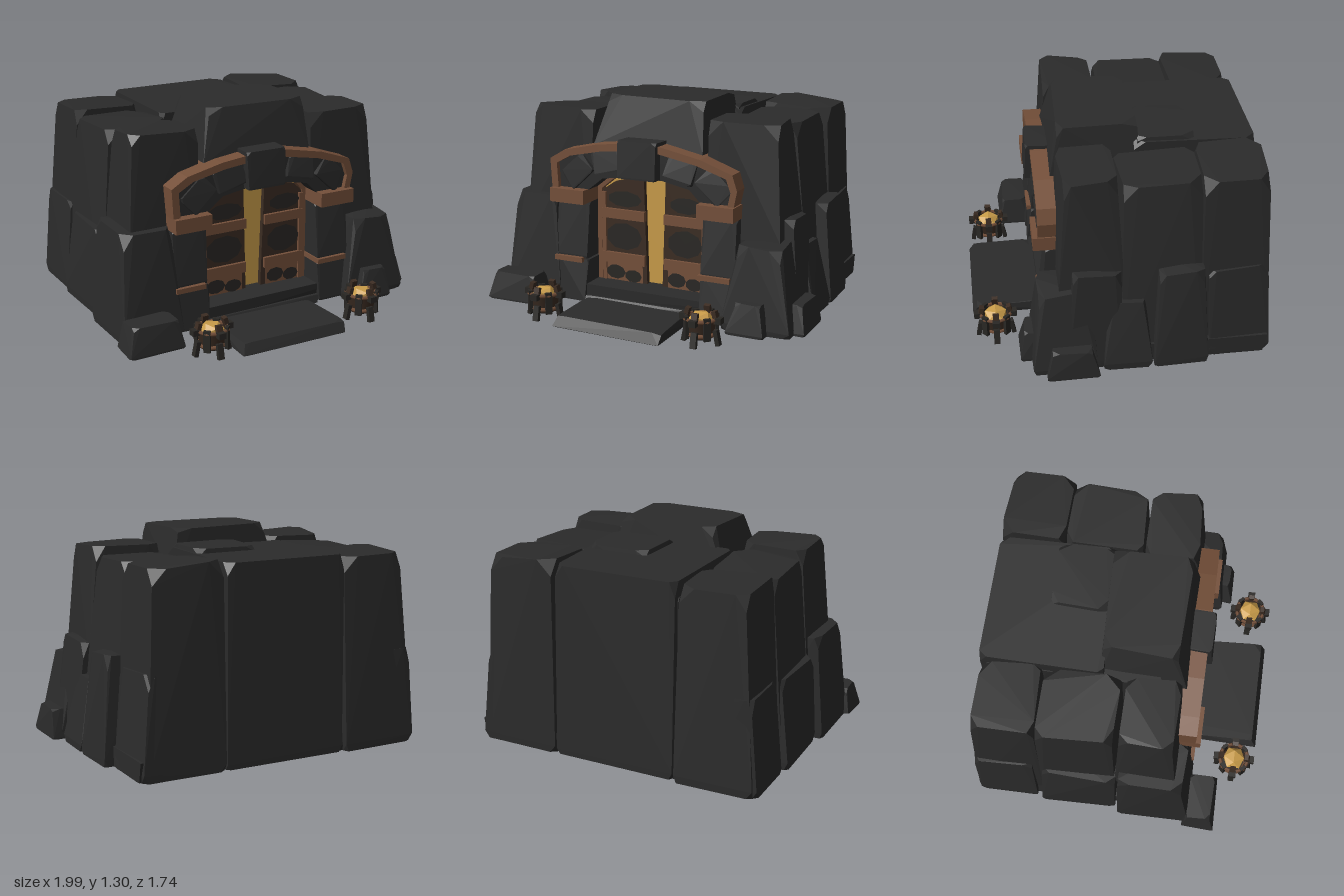
import * as THREE from 'three';
import { ConvexGeometry } from 'three/addons/geometries/ConvexGeometry.js';

const mat = (name, color) => {
  const m = new THREE.MeshStandardMaterial({ color, side: THREE.DoubleSide });
  m.name = name;
  return m;
};

export function createModel() {
  const root = new THREE.Group();
  root.name = 'caveGate';
  const stone = mat('charcoal stone', 0x2b2b2b);
  const soot = mat('sooty wood', 0x292724);
  const darkWood = mat('dark wood', 0x3b2c22);
  const wood = mat('brown wood', 0x75503a);
  const gold = mat('golden glow', 0xc99c49);

  let seed = 7;
  const rand = () => (seed = (seed * 16807) % 2147483647) / 2147483647;

  const add = (name, geo, material, parent = root) => {
    const m = new THREE.Mesh(geo, material);
    m.name = name;
    parent.add(m);
    return m;
  };
  const box = (name, material, x0, x1, y0, y1, z0, z1, parent = root) => {
    const m = add(name, new THREE.BoxGeometry(x1 - x0, y1 - y0, z1 - z0), material, parent);
    m.position.set((x0 + x1) / 2, (y0 + y1) / 2, (z0 + z1) / 2);
    return m;
  };
  // Chipped boulder: jittered box corners, each cut off, hulled.
  // lean = how far the top is pulled in at -x, +x, -z, +z.
  const rock = (name, x0, x1, y0, y1, z0, z1, lean = [0, 0, 0, 0], chip = 0.13, material = stone) => {
    const pts = [];
    const size = [x1 - x0, y1 - y0, z1 - z0];
    for (let i = 0; i < 8; i++) {
      const s = [i & 1, (i >> 1) & 1, (i >> 2) & 1];
      const top = s[1];
      const c = [
        s[0] ? x1 - top * lean[1] : x0 + top * lean[0],
        top ? y1 : y0,
        s[2] ? z1 - top * lean[3] : z0 + top * lean[2],
      ].map((v, k) => v + (s[k] ? -1 : 1) * rand() * 0.05 * (k === 1 && !top ? 0 : Math.min(size[k], 0.6)));
      for (let a = 0; a < 3; a++) {
        const p = c.slice();
        const cut = Math.min(0.09, size[a] * chip * (0.5 + rand())) * (top ? 1 : 0.5);
        p[a] += s[a] ? -cut : cut;
        pts.push(new THREE.Vector3(...p));
      }
    }
    return add(name, new ConvexGeometry(pts), material);
  };
  const plate = (name, points, material, z, depth, holes = [], parent = root) => {
    const s = new THREE.Shape(points.map((p) => new THREE.Vector2(...p)));
    holes.forEach((h) => s.holes.push(new THREE.Path(h.map((p) => new THREE.Vector2(...p)))));
    const m = add(name, new THREE.ExtrudeGeometry(s, { depth, bevelEnabled: false }), material, parent);
    m.position.z = z;
    return m;
  };

  // Central mass and cap over the gate
  rock('coreRock', -0.44, 0.38, 0.03, 1.1, -0.8, 0.25, [0, 0, 0, 0], 0.02);
  rock('backWallRock', -0.43, 0.37, 0.03, 1.2, -0.86, -0.1, [0.01, 0, 0.02, 0], 0.06);
  rock('capRock', -0.41, 0.34, 0.98, 1.31, -0.16, 0.38, [0.09, 0.03, 0.02, 0.05]);
  rock('capRearRock', -0.1, 0.37, 1.0, 1.22, -0.5, -0.1, [0.04, 0.02, 0.03, 0.02]);
  rock('baseRock', -0.9, 0.88, 0.03, 0.15, -0.84, 0.47, [0, 0, 0, 0], 0.03);

  // Tall upper rocks on each side
  rock('upperRockRightBack', 0.36, 0.86, 0.03, 1.2, -0.86, -0.43, [0, 0.06, 0.03, 0]);
  rock('upperRockRightMiddle', 0.35, 0.88, 0.03, 1.17, -0.46, 0.04, [0, 0.1, 0, 0.02]);
  rock('upperRockRightFront', 0.33, 0.83, 0.48, 1.2, 0.0, 0.39, [0, 0.06, 0.02, 0.04]);
  rock('upperRockLeftBack', -0.9, -0.41, 0.03, 1.19, -0.87, -0.44, [0.07, 0, 0.05, 0]);
  rock('upperRockLeftMiddle', -0.91, -0.41, 0.03, 1.17, -0.46, 0.04, [0.08, 0, 0, 0.02]);
  rock('upperRockLeftFront', -0.88, -0.4, 0.45, 1.21, 0.01, 0.39, [0.06, 0, 0.02, 0.04]);

  // Lower boulders leaning on the flanks
  rock('lowerRockRightFront', 0.5, 0.95, 0.03, 0.54, 0.16, 0.55, [0.08, 0.08, 0.03, 0.04]);
  rock('lowerRockRightShoulder', 0.55, 0.92, 0.03, 0.66, 0.02, 0.34, [0.05, 0.06, 0, 0.04]);
  rock('lowerRockRightCenter', 0.6, 0.95, 0.03, 0.46, -0.15, 0.14, [0, 0.08, 0.02, 0.03]);
  rock('lowerRockRightRear', 0.6, 0.95, 0.03, 0.66, -0.48, -0.16, [0, 0.05, 0.02, 0.02]);
  rock('lowerRockRightBack', 0.55, 0.88, 0.03, 0.62, -0.86, -0.48, [0, 0.04, 0.02, 0]);
  rock('lowerRockLeftFront', -0.97, -0.58, 0.03, 0.67, 0.03, 0.5, [0.05, 0.03, 0, 0.06]);
  rock('lowerRockLeftRear', -0.94, -0.6, 0.03, 0.58, -0.45, 0.02, [0.04, 0, 0.02, 0]);
  rock('lowerRockLeftBack', -0.93, -0.6, 0.03, 0.6, -0.86, -0.47, [0.05, 0, 0.02, 0]);

  // Loose stones and the doorstep
  rock('looseStoneLeft', -1.0, -0.64, 0.03, 0.2, 0.45, 0.66, [0.03, 0.03, 0.02, 0.03]);
  rock('looseStoneRight', 0.57, 0.81, 0.03, 0.22, 0.48, 0.61, [0.04, 0.03, 0, 0.03]);
  rock('looseStoneRightSide', 0.74, 1.0, 0.03, 0.21, 0.16, 0.47, [0, 0.02, 0.04, 0.04]);
  const step = rock('doorstep', -0.41, 0.3, 0.0, 0.065, 0.46, 0.88, [0.01, 0.01, 0, 0.02], 0.08);
  step.rotation.z = -0.012;
  step.position.y = 0.004;
  rock('threshold', -0.42, 0.36, 0.03, 0.08, 0.2, 0.5, [0, 0, 0, 0.02], 0.06);

  // Gate piers flanking the doors
  for (const [side, a, b] of [['Left', 0.34, 0.57], ['Right', -0.62, -0.4]]) {
    rock(`pier${side}Lower`, a, b, 0.04, 0.3, 0.2, 0.49, [0, 0, 0, 0.03], 0.08);
    rock(`pier${side}Upper`, a, b, 0.3, 0.66, 0.2, 0.46, [0, 0, 0, 0.03], 0.08);
    box(`pier${side}Band`, wood, a, b - 0.03, 0.28, 0.31, 0.3, 0.48);
    box(`pier${side}Capital`, wood, a + (a > 0 ? 0 : -0.01), b, 0.65, 0.735, 0.25, 0.5);
  }

  // Arch: stone ring with a wooden outer rim
  const outer = [[-0.63, 0.73], [-0.64, 0.91], [-0.54, 0.97], [-0.32, 1.02], [-0.1, 1.045], [0.1, 1.04],
    [0.35, 0.99], [0.55, 0.92], [0.58, 0.83], [0.56, 0.73]];
  const rimInner = outer.map(([x, y]) => [x * 0.93, 0.73 + (y - 0.73) * 0.86]);
  const opening = [[-0.4, 0.73], [-0.3, 0.81], [-0.1, 0.84], [0.1, 0.835], [0.27, 0.8], [0.34, 0.73]];
  plate('archRim', [...outer, ...rimInner.slice().reverse()], wood, 0.3, 0.17);
  plate('archRing', [...rimInner, ...opening.slice().reverse()], stone, 0.25, 0.19);
  for (const [i, [x, y, t]] of [[-0.46, 0.85, 0.75], [-0.26, 0.925, 0.25], [0.22, 0.915, -0.25], [0.43, 0.84, -0.75]].entries()) {
    const v = rock(`archStone${i + 1}`, -0.1, 0.1, -0.07, 0.07, 0.3, 0.475, [0, 0, 0, 0.02], 0.15);
    v.position.set(x, y, 0);
    v.rotation.z = t;
  }
  rock('keystone', -0.17, 0.09, 0.84, 1.065, 0.3, 0.51, [0, 0, 0, 0.01], 0.08);

  // Glow behind the doors
  const glow = [[-0.39, 0.07], [-0.39, 0.73], [-0.3, 0.8], [-0.1, 0.835], [0.1, 0.83], [0.27, 0.8], [0.33, 0.73], [0.33, 0.07]];
  plate('glow', glow, gold, 0.262, 0.008);

  // Wooden jamb around the opening
  const jamb = glow.map(([x, y]) => [(x + 0.03) * 1.04 - 0.03, y > 0.1 ? y + 0.005 : y]);
  const jambHole = glow.map(([x, y]) => [(x + 0.03) * 0.955 - 0.03, y > 0.1 ? y - 0.012 : y + 0.005]);
  plate('doorJamb', jamb, wood, 0.26, 0.06, [jambHole]);

  // Two door leaves with bands and soot patches
  const leaves = [
    ['Right', [[-0.37, 0.08], [-0.37, 0.71], [-0.29, 0.765], [-0.2, 0.79], [-0.09, 0.8], [-0.07, 0.08]], -0.37, -0.08],
    ['Left', [[0.03, 0.09], [0.055, 0.8], [0.16, 0.79], [0.26, 0.765], [0.32, 0.71], [0.32, 0.09]], 0.05, 0.32],
  ];
  for (const [side, pts, a, b] of leaves) {
    const leaf = new THREE.Group();
    leaf.name = `door${side}`;
    root.add(leaf);
    plate('doorPanel', pts, darkWood, 0.28, 0.03, [], leaf);
    for (const [y0, y1] of [[0.54, 0.6], [0.26, 0.325], [0.08, 0.125]]) box('doorBand', wood, a, b, y0, y1, 0.3, 0.33, leaf);
    box('lowerPanel', wood, a + 0.02, b - 0.02, 0.125, 0.26, 0.305, 0.315, leaf);
    const edge = side === 'Left' ? b - 0.025 : a;
    box('doorStile', wood, edge, edge + 0.025, 0.09, 0.7, 0.3, 0.325, leaf);
    const w = (b - a) / 2;
    for (const [x, y, rx, ry] of [[0, 0.43, 0.85, 0.085], [0.05, 0.665, 0.8, 0.05], [-0.4, 0.2, 0.45, 0.045], [0.42, 0.185, 0.4, 0.04]]) {
      const patch = add('sootPatch', new THREE.CircleGeometry(1, 9), soot, leaf);
      patch.scale.set(rx * w, ry, 1);
      patch.position.set((a + b) / 2 + x * w, y, 0.318);
    }
  }

  // Braziers with spiked rims and embers
  for (const [side, x] of [['Right', -0.535], ['Left', 0.485]]) {
    const b = new THREE.Group();
    b.name = `brazier${side}`;
    b.position.set(x, 0, 0.735);
    root.add(b);
    add('bowl', new THREE.CylinderGeometry(0.095, 0.07, 0.11, 8, 1, true), darkWood, b).position.y = 0.105;
    add('bowlFloor', new THREE.CylinderGeometry(0.07, 0.05, 0.02, 8), soot, b).position.y = 0.05;
    for (const [y, r] of [[0.16, 0.095], [0.07, 0.08]]) {
      const ring = add('hoop', new THREE.TorusGeometry(r, 0.012, 4, 8), wood, b);
      ring.rotation.x = Math.PI / 2;
      ring.position.y = y;
    }
    const ember = add('embers', new THREE.IcosahedronGeometry(0.075, 0), gold, b);
    ember.scale.y = 0.6;
    ember.position.y = 0.155;
    for (let i = 0; i < 8; i++) {
      const arm = new THREE.Group();
      arm.name = 'bracket';
      arm.rotation.y = (i * Math.PI) / 4;
      b.add(arm);
      if (i % 2) {
        box('post', soot, 0.08, 0.1, 0.05, 0.18, -0.02, 0.02, arm);
      } else {
        box('spike', soot, 0.09, 0.128, 0.14, 0.175, -0.022, 0.022, arm);
        const prong = box('prong', darkWood, 0.075, 0.1, 0.14, 0.21, -0.018, 0.018, arm);
        prong.rotation.z = 0.25;
        const leg = box('leg', soot, 0.085, 0.11, 0.01, 0.1, -0.018, 0.018, arm);
        leg.rotation.z = 0.2;
      }
    }
  }
  return root;
}
